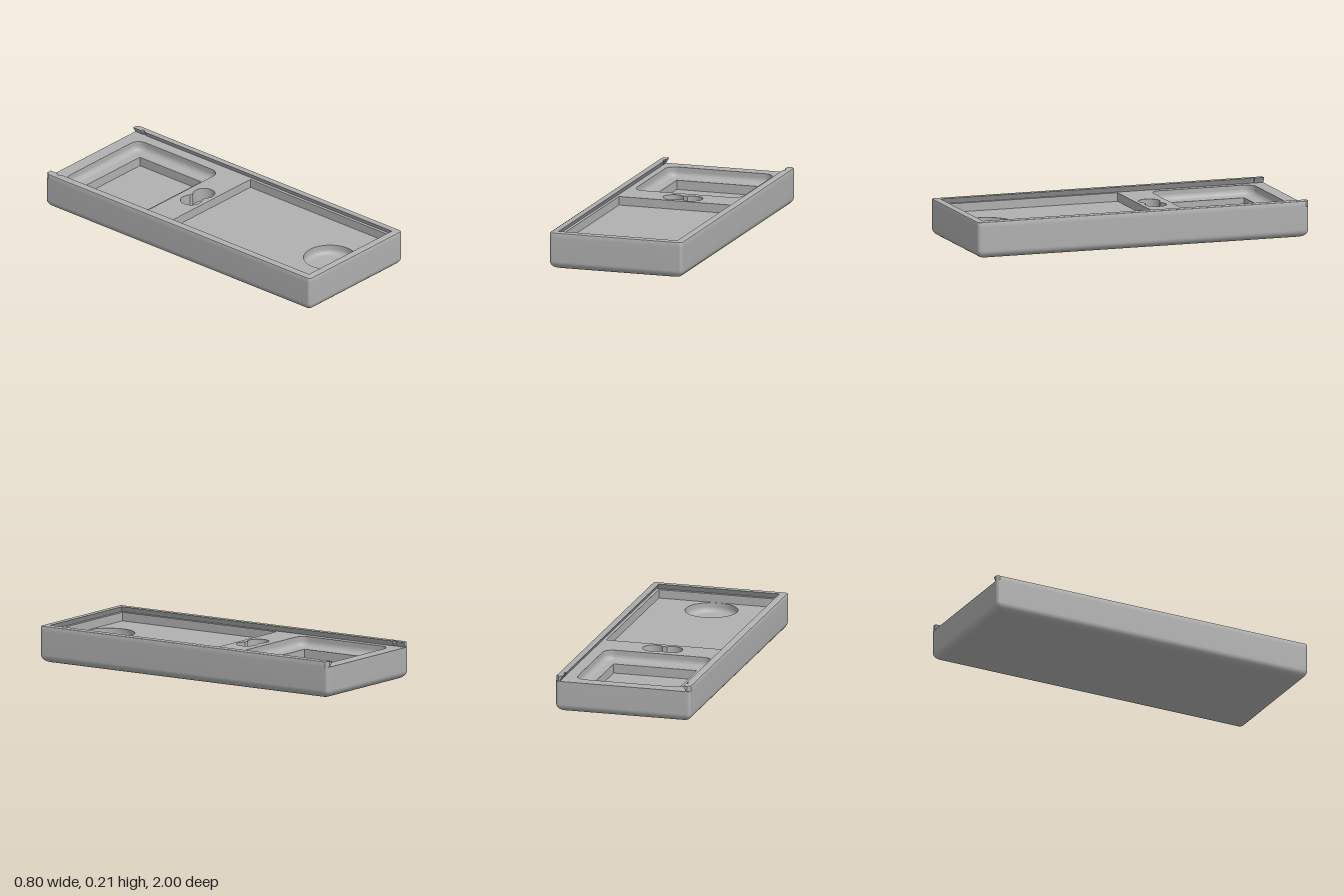
import * as THREE from 'three';
import { toCreasedNormals } from 'three/addons/utils/BufferGeometryUtils.js';

const HX = 0.4, HZ = 1, TOP = 0.212, DECK = 0.18, CORNER = 0.018;

// Plan outlines are Vector2 lists (x, -z), counter-clockwise from above.
function roundRect(x0, x1, z0, z1, r, n = 6) {
  const pts = [], e = 0.004;
  const corners = [[x1 - r, -z0 - r], [x0 + r, -z0 - r], [x0 + r, -z1 + r], [x1 - r, -z1 + r]];
  corners.forEach(([cx, cy], q) => {
    const at = (t, off) => pts.push(new THREE.Vector2(
      cx + r * Math.cos(t) - off * Math.sin(t), cy + r * Math.sin(t) + off * Math.cos(t)));
    const a = q * Math.PI / 2;
    if (r === 0) return at(a, 0);
    at(a, -e);
    for (let i = 0; i <= n; i++) at(a + i / n * Math.PI / 2, 0);
    at(a + Math.PI / 2, e);
  });
  return pts;
}

function circle(cx, cz, r, n = 64) {
  return Array.from({ length: n }, (_, i) => {
    const t = i / n * Math.PI * 2;
    return new THREE.Vector2(cx + r * Math.cos(t), -cz + r * Math.sin(t));
  });
}

// Two overlapping finger circles joined by a short neck.
function twinCircle(cx, cz, r, spread, neck, n = 20) {
  const pts = [], lim = Math.PI - Math.asin(neck / r);
  for (const side of [0, 1]) {
    for (let i = 0; i <= n; i++) {
      const t = -lim + 2 * lim * i / n + side * Math.PI;
      pts.push(new THREE.Vector2(cx + (side ? -spread : spread) + r * Math.cos(t), -cz + r * Math.sin(t)));
    }
  }
  return pts;
}

const ringAt = (pts, y) => pts.map(p => [p.x, y, -p.y]);

// Skin between successive rings of equal length.
function loft(rings, closed = true) {
  const n = rings[0].length, index = [];
  for (let i = 0; i < rings.length - 1; i++) {
    for (let j = 0; j < (closed ? n : n - 1); j++) {
      const k = (j + 1) % n, a = i * n + j, b = i * n + k, c = b + n, d = a + n;
      index.push(a, b, d, b, c, d);
    }
  }
  const g = new THREE.BufferGeometry();
  g.setAttribute('position', new THREE.Float32BufferAttribute(rings.flat(2), 3));
  g.setIndex(index);
  return toCreasedNormals(g, 0.6);
}

function plate(outline, y, holes = [], down = false) {
  const s = new THREE.Shape(outline);
  s.holes = holes.map(h => new THREE.Path(h));
  const g = new THREE.ShapeGeometry(s);
  if (down) g.scale(1, -1, 1).rotateX(Math.PI / 2);
  else g.rotateX(-Math.PI / 2);
  if (down) { // restore outward winding after the flip
    const ix = g.index.array;
    for (let i = 0; i < ix.length; i += 3) [ix[i], ix[i + 1]] = [ix[i + 1], ix[i]];
    g.rotateX(Math.PI);
    g.scale(1, 1, -1);
    g.computeVertexNormals();
  }
  return g.translate(0, y, 0);
}

export function createModel() {
  const model = new THREE.Group();
  const grey = new THREE.MeshStandardMaterial({ color: 0xb0b0b0, side: THREE.DoubleSide });
  grey.name = 'plain grey';
  const add = (name, g) => {
    const m = new THREE.Mesh(g, grey);
    m.name = name;
    model.add(m);
  };

  // Outer walls with a rounded bottom edge
  const R = 0.045, shell = [];
  const outer = inset => roundRect(-HX + inset, HX - inset, -HZ + inset, HZ - inset, CORNER);
  for (let i = 0; i <= 8; i++) {
    const t = i / 8 * Math.PI / 2;
    shell.push(ringAt(outer(R * (1 - Math.sin(t))), R * (1 - Math.cos(t))));
  }
  shell.push(ringAt(outer(0), R + 0.004), ringAt(outer(0), DECK));
  add('outerWalls', loft(shell));
  add('underside', plate(outer(R), 0, [], true));

  // Pocket outlines
  const longPocket = roundRect(-0.357, 0.357, -0.113, 0.955, 0);
  const trayAt = i => roundRect(-0.335 + i, 0.307 - i, -0.922 + i, -0.3 - i, 0.06 - i);
  const square = roundRect(-0.258, 0.235, -0.843, -0.38, 0);
  const finger = twinCircle(-0.002, -0.198, 0.062, 0.055, 0.045);
  const dip = r => circle(0, 0.803, r);

  add('deck', plate(outer(0), DECK, [longPocket, trayAt(0), finger]));

  // Long pocket with a round dip near the front
  const longFloor = 0.13;
  add('longPocketWalls', loft([ringAt(longPocket, DECK), ringAt(longPocket, longFloor)]));
  add('longPocketFloor', plate(longPocket, longFloor, [dip(0.151)]));

  // Wall running down into a filleted floor
  const filleted = (outline, top, bottom, r) => {
    const rings = [ringAt(outline(0), top), ringAt(outline(0), bottom + r + 0.002)];
    for (let i = 0; i <= 8; i++) {
      const t = i / 8 * Math.PI / 2;
      rings.push(ringAt(outline(r * (1 - Math.cos(t))), bottom + r * (1 - Math.sin(t))));
    }
    return loft(rings);
  };
  add('roundDipWall', filleted(i => dip(0.151 - i), longFloor, 0.075, 0.03));
  add('roundDipFloor', plate(dip(0.121), 0.075));

  // Rounded tray with a deeper square well
  const trayFloor = 0.122, wellFloor = 0.068;
  add('trayWalls', filleted(trayAt, DECK, trayFloor, 0.032));
  add('trayFloor', plate(trayAt(0.032), trayFloor, [square]));
  add('wellWalls', loft([ringAt(square, trayFloor), ringAt(square, wellFloor)]));
  add('wellFloor', plate(square, wellFloor));

  // Finger hole
  add('fingerHoleWalls', loft([ringAt(finger, DECK), ringAt(finger, 0.1)]));
  add('fingerHoleFloor', plate(finger, 0.1));

  // Undercut rail around the sides and front: [distance in from outside, height]
  const profile = [[0, DECK], [0, TOP - 0.008], [0.0025, TOP - 0.0025], [0.008, TOP], [0.043, TOP], [0.025, DECK]];
  const notchZ = -0.93, notchR = 0.013;
  const sideZ = [0, 0.3, 1].map(f => -HZ + f * CORNER);
  for (let i = 0; i <= 8; i++) sideZ.push(notchZ - notchR * Math.cos(i / 8 * Math.PI));
  sideZ.push(HZ - CORNER - 0.004);
  const sideInset = (d, z) => {
    if (d > 0.02) {
      const cut = Math.sqrt(Math.max(0, notchR ** 2 - (z - notchZ) ** 2));
      return Math.max(0.02, d - cut);
    }
    return Math.max(d, CORNER - (z + HZ));
  };
  const rail = profile.map(([d, y]) => {
    const half = sideZ.map(z => [HX - sideInset(d, z), y, Math.min(z, HZ - d)]);
    const r = Math.max(CORNER - d, 0), c = Math.max(CORNER, d);
    for (let i = 0; i <= 6; i++) {
      const t = i / 6 * Math.PI / 2;
      half.push([HX - c + r * Math.cos(t), y, HZ - c + r * Math.sin(t)]);
    }
    half.push([HX - c - 0.004, y, HZ - d]);
    return [...half.map(([x, h, z]) => [-x, h, z]), ...half.reverse()];
  });
  add('lidRail', loft(rail, false));

  // Open rear ends of the rail
  for (const s of [-1, 1]) {
    const end = new THREE.Shape(profile.map(([d, y]) => new THREE.Vector2(s * (HX - Math.max(d, CORNER)), y)));
    add(s < 0 ? 'leftRailEnd' : 'rightRailEnd', new THREE.ShapeGeometry(end).rotateY(Math.PI).translate(0, 0, -HZ));
  }
  return model;
}
